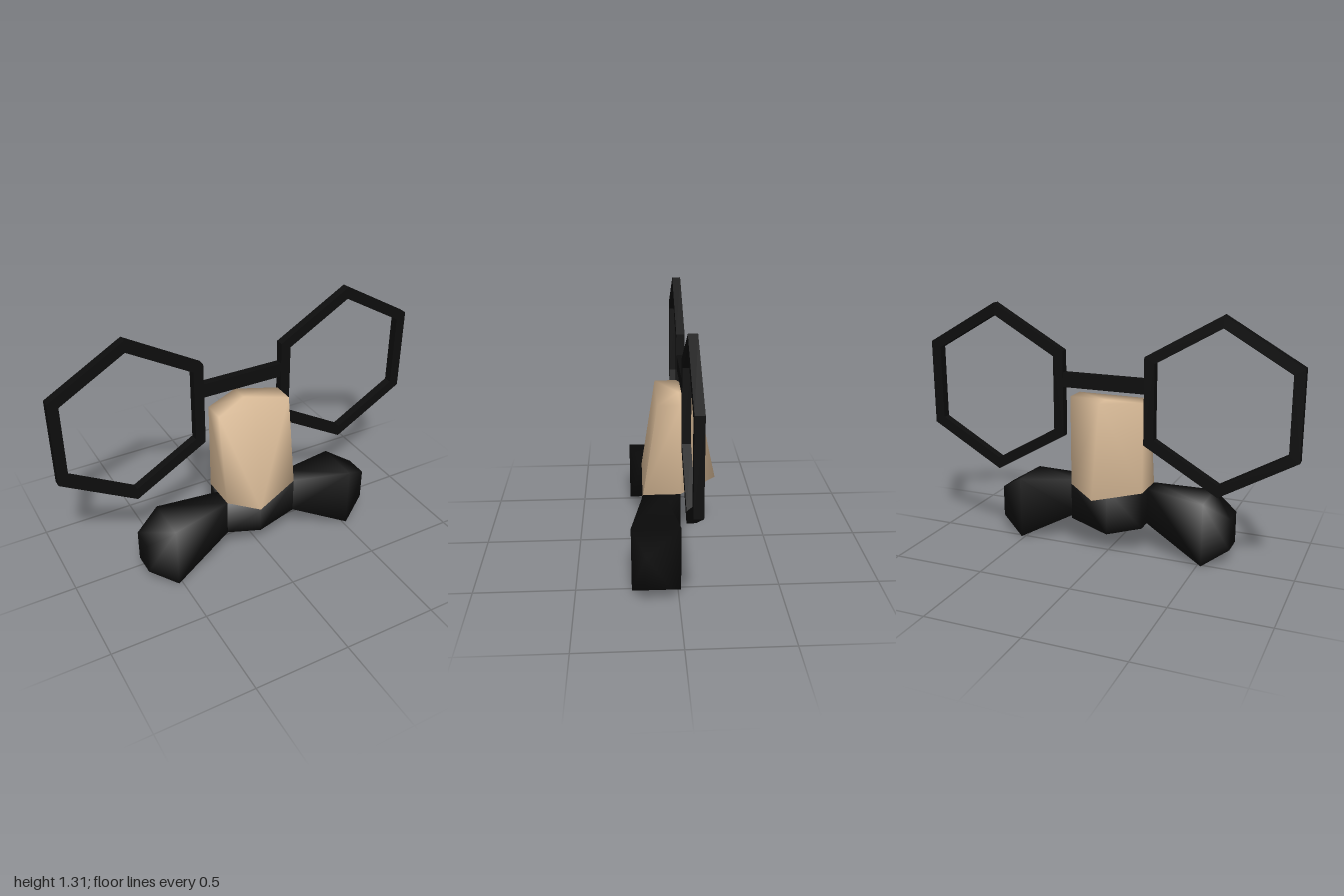
import * as THREE from 'three';

const black = new THREE.MeshStandardMaterial({ color: 0x0d0d0d });
black.name = 'black';
const skin = new THREE.MeshStandardMaterial({ color: 0xdfc09c });
skin.name = 'skin tan';

// Smooth skin over matching rings, closed at both ends around the given centre points.
// Rings run counter-clockwise as seen from the end of the loft.
function loft(rings, startCentre, endCentre) {
  const n = rings[0].length;
  const points = [...rings.flat(), startCentre, endCentre];
  const start = points.length - 2, end = points.length - 1;
  const last = (rings.length - 1) * n;
  const index = [];
  for (let i = 0; i < n; i++) {
    const j = (i + 1) % n;
    for (let r = 0; r < last; r += n) {
      const a = r + i, b = r + j, c = r + n + j, d = r + n + i;
      // mirrored diagonals on the two halves
      if (i < n / 2) index.push(a, b, c, a, c, d);
      else index.push(a, b, d, b, c, d);
    }
    index.push(start, j, i, end, last + i, last + j);
  }
  const geometry = new THREE.BufferGeometry();
  geometry.setAttribute('position', new THREE.Float32BufferAttribute(points.flat(), 3));
  geometry.setIndex(index);
  geometry.computeVertexNormals();
  return geometry;
}

// Four-cornered section across x
const section = (x, y0, y1, z0, z1, frontTop = y1) =>
  [[x, y0, z0], [x, y1, z0], [x, frontTop, z1], [x, y0, z1]];

// Six-cornered nose section, pointed at the back
const noseRing = (y, front, back, frontY = y) => [
  [0, frontY, front], [0.2, y, front], [0.2, y, -0.03],
  [0, y, back], [-0.2, y, -0.03], [-0.2, y, front],
];

function hexagon(PathType, radius) {
  const points = [];
  for (let i = 0; i < 6; i++) {
    const a = Math.PI / 6 + i * Math.PI / 3;
    points.push(new THREE.Vector2(radius * Math.cos(a), radius * Math.sin(a)));
  }
  return new PathType(points);
}

export function createModel() {
  const group = new THREE.Group();
  const add = (name, geometry, material, x = 0, y = 0, z = 0) => {
    const mesh = new THREE.Mesh(geometry, material);
    mesh.name = name;
    mesh.position.set(x, y, z);
    group.add(mesh);
  };

  // Spectacles: two hexagonal rims and a bridge
  const rim = hexagon(THREE.Shape, 0.45);
  rim.holes.push(hexagon(THREE.Path, 0.388));
  const rimGeometry = new THREE.ExtrudeGeometry(rim, { depth: 0.044, bevelEnabled: false });
  add('leftRim', rimGeometry, black, 0.61, 0.86, -0.076);
  add('rightRim', rimGeometry, black, -0.61, 0.86, -0.076);
  add('bridge', new THREE.BoxGeometry(0.46, 0.075, 0.04), black, 0, 0.935, -0.054);

  // Nose
  add('nose', loft(
    [noseRing(0.36, 0.16, -0.225, 0.24), noseRing(0.84, 0.085, -0.125)],
    [0, 0.36, -0.03], [0, 0.84, -0.03],
  ), skin);

  // Moustache: notched middle under the nose
  add('moustacheMiddle', loft([
    section(-0.2, 0.165, 0.36, -0.03, 0.16),
    section(0, 0.1, 0.36, -0.03, 0.16, 0.24),
    section(0.2, 0.165, 0.36, -0.03, 0.16),
  ], [-0.2, 0.26, 0.065], [0.2, 0.26, 0.065]), black);

  // Moustache: flaring wings
  for (const side of [1, -1]) {
    const rings = [
      section(side * 0.2, 0.165, 0.36, 0.05, 0.16),
      section(side * 0.52, 0, 0.34, -0.015, 0.226),
      section(side * 0.655, 0.09, 0.26, 0.04, 0.16),
    ];
    const ends = [[side * 0.2, 0.26, 0.105], [side * 0.655, 0.175, 0.1]];
    if (side < 0) {
      rings.reverse();
      ends.reverse();
    }
    add(side > 0 ? 'leftMoustacheWing' : 'rightMoustacheWing', loft(rings, ...ends), black);
  }
  return group;
}
